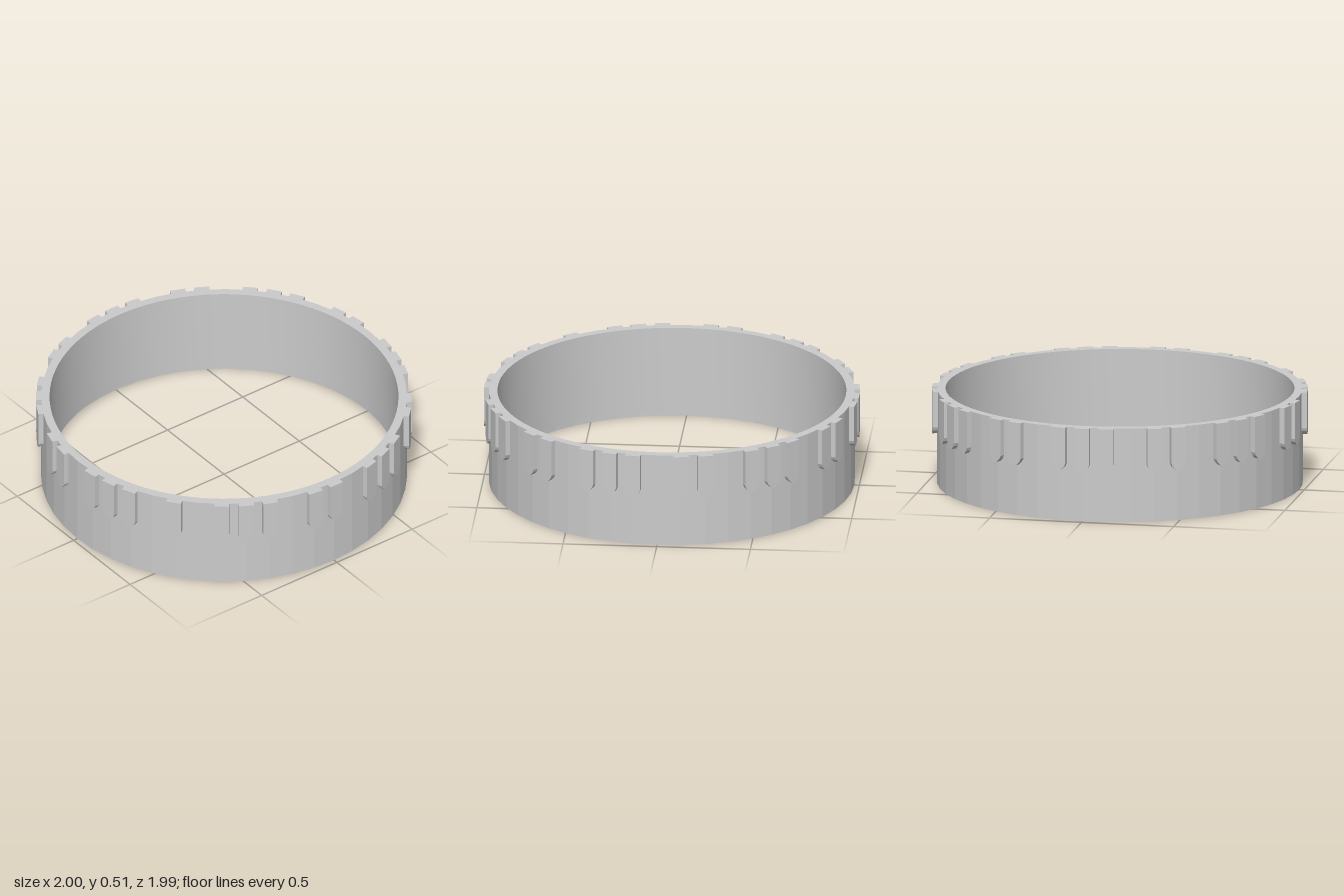
import * as THREE from 'three';
import { toCreasedNormals } from 'three/addons/utils/BufferGeometryUtils.js';

const SIDES = 48;
const STEP = (Math.PI * 2) / SIDES;
const TOP = 0.51, LEDGE = 0.035;
const R_OUT = 0.974, R_IN = 0.928, R_RIM = 0.957, R_PAD = 1.0;

const material = new THREE.MeshStandardMaterial({ color: 0xcccccc });

function circlePoints(radius, sides) {
  return Array.from({ length: sides }, (_, i) => {
    const a = (i / sides) * Math.PI * 2;
    return new THREE.Vector2(Math.cos(a) * radius, Math.sin(a) * radius);
  });
}

// Faceted outer wall with a round or faceted bore, standing between y0 and y1
function ring(name, innerRadius, innerSides, y0, y1) {
  const shape = new THREE.Shape(circlePoints(R_OUT, SIDES));
  shape.holes.push(new THREE.Path(circlePoints(innerRadius, innerSides).reverse()));
  const extruded = new THREE.ExtrudeGeometry(shape, { depth: y1 - y0, bevelEnabled: false });
  extruded.rotateX(-Math.PI / 2).translate(0, y0, 0);
  const mesh = new THREE.Mesh(toCreasedNormals(extruded, 0.1), material);
  mesh.name = name;
  return mesh;
}

// Raised tab: straight sides, tapering to a blunt point below
function padGeometry() {
  const w = 0.041;
  const half = [[w, TOP], [w, 0.315], [0.034, 0.298], [0.014, 0.279]];
  const left = half.map(([x, y]) => new THREE.Vector2(-x, y));
  const right = half.map(([x, y]) => new THREE.Vector2(x, y)).reverse();
  const shape = new THREE.Shape([...left, new THREE.Vector2(0, 0.275), ...right]);
  const root = 0.95;
  const g = new THREE.ExtrudeGeometry(shape, { depth: R_PAD - root, bevelEnabled: false });
  return g.translate(0, 0, root);
}

export function createModel() {
  const group = new THREE.Group();
  group.name = 'ring';

  // Main band and the thin rim under its inner ledge
  group.add(ring('band', R_IN, 96, LEDGE, TOP));
  group.add(ring('lowerRim', R_RIM, SIDES, 0, LEDGE));

  // Tabs in alternating threes and twos, with a lone tab where the pattern closes
  const slots = [5];
  for (let k = 7; k < 52; k += 7) {
    slots.push(k, k + 1, k + 2);
    if (k < 49) slots.push(k + 4, k + 5);
  }
  const pads = new THREE.Group();
  pads.name = 'outerTabs';
  const geometry = padGeometry();
  for (const k of slots) {
    const pad = new THREE.Mesh(geometry, material);
    pad.name = 'tab';
    pad.rotation.y = k * STEP;
    pads.add(pad);
  }
  group.add(pads);
  return group;
}
